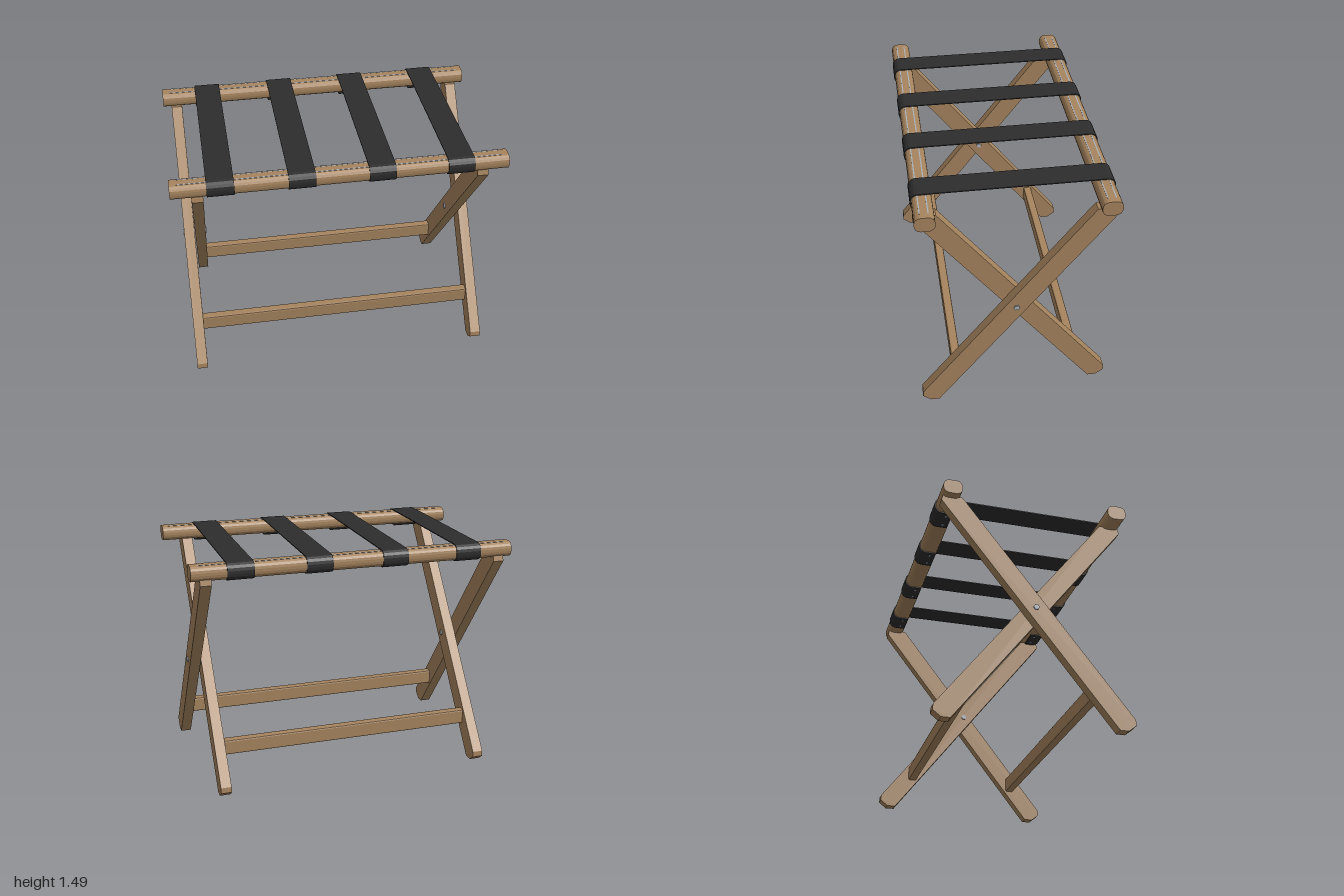
import * as THREE from 'three';

const wood = new THREE.MeshStandardMaterial({ color: 0xa6845e });
wood.name = 'wood';
const webbing = new THREE.MeshStandardMaterial({ color: 0x2d2d2d });
webbing.name = 'black webbing';
const steel = new THREE.MeshStandardMaterial({ color: 0xaab2ba });
steel.name = 'steel';

const RAIL = { z: 0.521, y: 1.432, w: 0.118, h: 0.093, r: 0.038 };

// Extrudes a [z, y] outline sideways from x0 to x1
function extrudeX(points, x0, x1) {
  const shape = new THREE.Shape(points.map(([z, y]) => new THREE.Vector2(-z, y)));
  const geo = new THREE.ExtrudeGeometry(shape, { depth: x1 - x0, bevelEnabled: false });
  return geo.rotateY(Math.PI / 2).translate(x0, 0, 0);
}

// Rounded rectangle outline in [z, y], starting at the lower outer corner
function roundedOutline(cz, cy, w, h, r, steps) {
  const points = [];
  for (let c = 0; c < 4; c++) {
    const sz = c < 2 ? 1 : -1;
    const sy = c === 1 || c === 2 ? 1 : -1;
    for (let i = 0; i <= steps; i++) {
      const a = (c - 1 + i / steps) * Math.PI / 2;
      points.push([
        cz + sz * (w / 2 - r) + r * Math.cos(a),
        cy + sy * (h / 2 - r) + r * Math.sin(a),
      ]);
    }
  }
  return points;
}

// Path of a strap: under one rail, around its outside, across, and around the other
function strapPath(d) {
  const { z, y, w, h, r } = RAIL;
  const wrap = roundedOutline(z, y, w + 2 * d, h + 2 * d, r + d, 4).slice(0, 10);
  const half = [[z - 0.045, y - h / 2 - d], ...wrap];
  return [...half, ...half.map(([pz, py]) => [-pz, py]).reverse()];
}

export function createModel() {
  const group = new THREE.Group();
  const add = (name, geo, mat) => {
    const mesh = new THREE.Mesh(geo, mat);
    mesh.name = name;
    group.add(mesh);
    return mesh;
  };

  // Crossed legs: the outer pair stands at the front, the inner pair at the back
  const leg = [
    [0.483, 0], [0.537, 0], [0.585, 0.038], [0.582, 0.073],
    [-0.451, 1.398], [-0.571, 1.398], [-0.58, 1.364],
  ];
  const backLeg = leg.map(([z, y]) => [-z, y]);
  for (const [side, s] of [['left', 1], ['right', -1]]) {
    const span = (a, b) => (s > 0 ? [a, b] : [-b, -a]);
    add(side + 'OuterLeg', extrudeX(leg, ...span(0.882, 0.949)), wood);
    add(side + 'InnerLeg', extrudeX(backLeg, ...span(0.811, 0.878)), wood);

    // Pivot bolt through both legs
    const bolt = add(side + 'PivotBolt', new THREE.CylinderGeometry(0.018, 0.018, 0.154, 6), steel);
    bolt.rotation.z = Math.PI / 2;
    bolt.position.set(s * 0.88, 0.717, 0);
  }

  for (const [end, s, reach] of [['front', 1, 0.884], ['back', -1, 0.813]]) {
    // Top rail
    const { z, y, w, h, r } = RAIL;
    add(end + 'TopRail', extrudeX(roundedOutline(s * z, y, w, h, r, 4), -1, 1), wood);

    // Thin inlay lines along the rail top
    for (const dz of [-0.024, 0.024]) {
      const line = add(end + 'RailInlay', new THREE.BoxGeometry(1.92, 0.005, 0.007), steel);
      line.position.set(0, y + h / 2 - 0.002, s * (z + dz));
    }

    // Lower stretcher with eased edges
    const bar = roundedOutline(s * 0.367, 0.249, 0.056, 0.097, 0.01, 2);
    add(end + 'Stretcher', extrudeX(bar, -reach, reach), wood);
  }

  // Webbing straps, each fixed with two small tacks under both rails
  const ribbon = [...strapPath(0.001), ...strapPath(0.007).reverse()];
  for (const x of [-0.71, -0.237, 0.237, 0.71]) {
    add('strap', extrudeX(ribbon, x - 0.08, x + 0.08), webbing);
    for (const sz of [-1, 1]) {
      for (const dx of [-0.045, 0.045]) {
        const tack = add('strapTack', new THREE.CylinderGeometry(0.007, 0.007, 0.006, 8), steel);
        tack.position.set(x + dx, RAIL.y - RAIL.h / 2 - 0.007, sz * 0.51);
      }
    }
  }
  return group;
}
